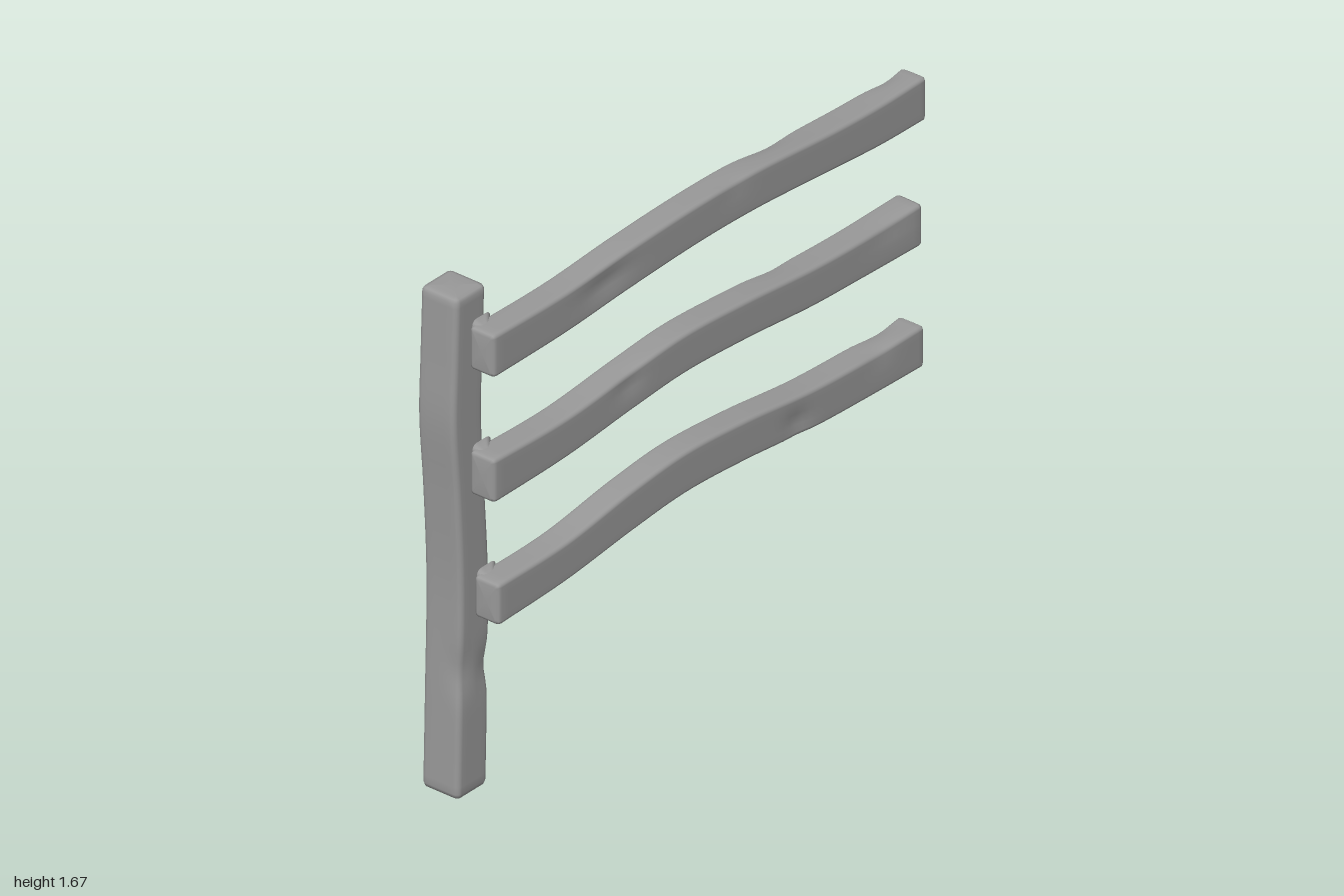
import * as THREE from 'three';

const material = new THREE.MeshStandardMaterial({ color: 0x999999 });

// Rounded-rectangle outline with half sizes hu, hv and corner radius r
function outline(hu, hv, r) {
  const corners = [[1, 1], [-1, 1], [-1, -1], [1, -1]];
  const arc = [];
  corners.forEach(([su, sv], k) => {
    for (let i = 0; i <= 4; i++) {
      const a = (k + i / 4) * Math.PI / 2;
      arc.push([su * (hu - r) + r * Math.cos(a), sv * (hv - r) + r * Math.sin(a)]);
    }
  });
  // Split each straight side so it can be dented
  const pts = [];
  arc.forEach((p, i) => {
    pts.push(p);
    if (i % 5 !== 4) return;
    const q = arc[(i + 1) % arc.length];
    for (let s = 1; s < 5; s++) pts.push([p[0] + (q[0] - p[0]) * s / 5, p[1] + (q[1] - p[1]) * s / 5]);
  });
  return pts;
}

// Smooth mesh from flat positions and triangle corners
function smoothMesh(name, pos, idx) {
  const geo = new THREE.BufferGeometry();
  geo.setAttribute('position', new THREE.Float32BufferAttribute(pos, 3));
  geo.setIndex(idx);
  geo.computeVertexNormals();
  const mesh = new THREE.Mesh(geo, material);
  mesh.name = name;
  return mesh;
}

// Wavy timber: stations are [distance along, low edge, high edge], r is the corner radius.
// Dents are [distance, u, v, length, depth], u across z and v across the edges (-1..1).
function timber(name, stations, z0, z1, r, upright, dents) {
  const loCurve = new THREE.CatmullRomCurve3(stations.map(s => new THREE.Vector3(s[0], s[1], 0)));
  const hiCurve = new THREE.CatmullRomCurve3(stations.map(s => new THREE.Vector3(s[0], s[2], 0)));
  const steps = 72;
  const start = stations[0][0], end = stations[stations.length - 1][0];
  const rings = [[0, r], [r * 0.3, r * 0.3]];
  for (let i = 0; i <= steps; i++) rings.push([r + (end - start - 2 * r) * i / steps, 0]);
  rings.push([end - start - r * 0.3, r * 0.3], [end - start, r]);

  const pos = [], idx = [];
  const put = (t, v, z) => pos.push(...(upright ? [v, t, z] : [t, v, z]));
  const tri = (a, b, c) => idx.push(...(upright ? [a, c, b] : [a, b, c]));
  const hu = (z1 - z0) / 2, zc = (z0 + z1) / 2;
  let n = 0;
  const centres = [];
  rings.forEach(([d, inset]) => {
    const f = d / (end - start);
    const lo = loCurve.getPoint(f), hi = hiCurve.getPoint(f);
    const t = lo.x, hv = (hi.y - lo.y) / 2, vc = (hi.y + lo.y) / 2;
    const pts = outline(hu - inset, hv - inset, Math.max(r - inset, 0.004));
    n = pts.length;
    centres.push([t, vc]);
    pts.forEach(([u, v]) => {
      let shrink = 0;
      dents.forEach(([dt, du, dv, len, depth]) => {
        const q = ((t - dt) / len) ** 2 + ((u / hu - du) / 0.6) ** 2 + ((v / hv - dv) / 0.6) ** 2;
        shrink += depth * Math.exp(-q);
      });
      const k = 1 - shrink / Math.hypot(u, v);
      put(t, vc + v * k, zc + u * k);
    });
  });
  for (let i = 0; i < rings.length - 1; i++) {
    for (let j = 0; j < n; j++) {
      const a = i * n + j, b = i * n + (j + 1) % n;
      tri(a, a + n, b);
      tri(b, a + n, b + n);
    }
  }
  // End caps
  const c0 = pos.length / 3, last = (rings.length - 1) * n;
  put(...centres[0], zc);
  put(...centres[centres.length - 1], zc);
  for (let j = 0; j < n; j++) {
    const k = (j + 1) % n;
    tri(c0, j, k);
    tri(c0 + 1, last + k, last + j);
  }
  return smoothMesh(name, pos, idx);
}

// Flared collar that blends a rail into the post; its open ends are buried in the timber
function collar(name, left, edge, low, high) {
  // z, reach past the post's side, reach past the rail's top and bottom
  const rings = [
    [-0.025, -0.006, -0.014], [-0.008, 0.003, -0.012], [0.004, 0.009, -0.006], [0.014, 0.018, 0.004],
    [0.022, 0.026, 0.012], [0.03, 0.016, 0.006], [0.042, 0.004, 0.001], [0.058, -0.004, -0.004],
  ];
  const pos = [], idx = [];
  let n = 0;
  rings.forEach(([z, dx, dy], i) => {
    const x0 = left + 0.012, x1 = edge + dx;
    const pts = outline((x1 - x0) / 2, (high - low) / 2 + dy, 0.018);
    n = pts.length;
    pts.forEach(([u, v], j) => {
      pos.push((x0 + x1) / 2 + u, (low + high) / 2 + v, z);
      if (i === 0) return;
      const b = i * n + j, c = i * n + (j + 1) % n;
      idx.push(b - n, c - n, b, c - n, c, b);
    });
  });
  return smoothMesh(name, pos, idx);
}

export function createModel() {
  const group = new THREE.Group();
  group.name = 'fenceSection';

  // Upright post
  group.add(timber('post', [
    [0, -0.98, -0.846], [0.3, -0.973, -0.839], [0.7, -0.966, -0.835], [1.0, -0.98, -0.852],
    [1.25, -0.998, -0.866], [1.45, -0.992, -0.859], [1.667, -0.984, -0.851],
  ], -0.116, 0.022, 0.018, true, [
    [0.4, 1, 0.9, 0.06, 0.012], [0.41, 1, -0.9, 0.07, 0.012], [0.3, -1, 0.5, 0.08, 0.006],
  ]));

  // Rails, with the post's side edge where each one joins
  const rails = [
    { name: 'topRail', edge: -0.862, stations: [
      [-0.928, 1.416, 1.558], [-0.6, 1.42, 1.555], [-0.3, 1.437, 1.572], [0, 1.447, 1.58], [0.25, 1.442, 1.574],
      [0.6, 1.415, 1.546], [0.8, 1.4, 1.538], [0.999, 1.396, 1.541]],
      dents: [[-0.42, 1, 0.2, 0.1, 0.009], [0.38, -1, 1, 0.1, 0.011], [0.92, -1, 1, 0.07, 0.01], [0.15, 1, 0.9, 0.06, 0.005]] },
    { name: 'middleRail', edge: -0.86, stations: [
      [-0.927, 1.0, 1.145], [-0.6, 1.006, 1.138], [-0.3, 1.031, 1.162], [-0.07, 1.044, 1.176], [0.2, 1.031, 1.161],
      [0.5, 1.004, 1.134], [0.7, 0.996, 1.126], [0.984, 0.987, 1.127]],
      dents: [[-0.32, 1, 0.6, 0.06, 0.009], [0.85, 1, 0.9, 0.1, 0.009], [0.4, -1, 0.6, 0.07, 0.008]] },
    { name: 'bottomRail', edge: -0.838, stations: [
      [-0.907, 0.584, 0.721], [-0.6, 0.596, 0.726], [-0.3, 0.628, 0.766], [-0.07, 0.644, 0.783], [0.2, 0.63, 0.766],
      [0.5, 0.599, 0.731], [0.8, 0.586, 0.718], [0.99, 0.581, 0.718]],
      dents: [[0.43, 1, -0.3, 0.05, 0.009], [0.88, -1, 0.8, 0.08, 0.01], [0.8, 1, 1, 0.06, 0.007]] },
  ];
  for (const { name, edge, stations, dents } of rails) {
    const [left, low, high] = stations[0];
    group.add(
      timber(name, stations, 0.02, 0.113, 0.013, false, dents),
      collar(name + 'Collar', left, edge, low, high),
    );
  }
  return group;
}
